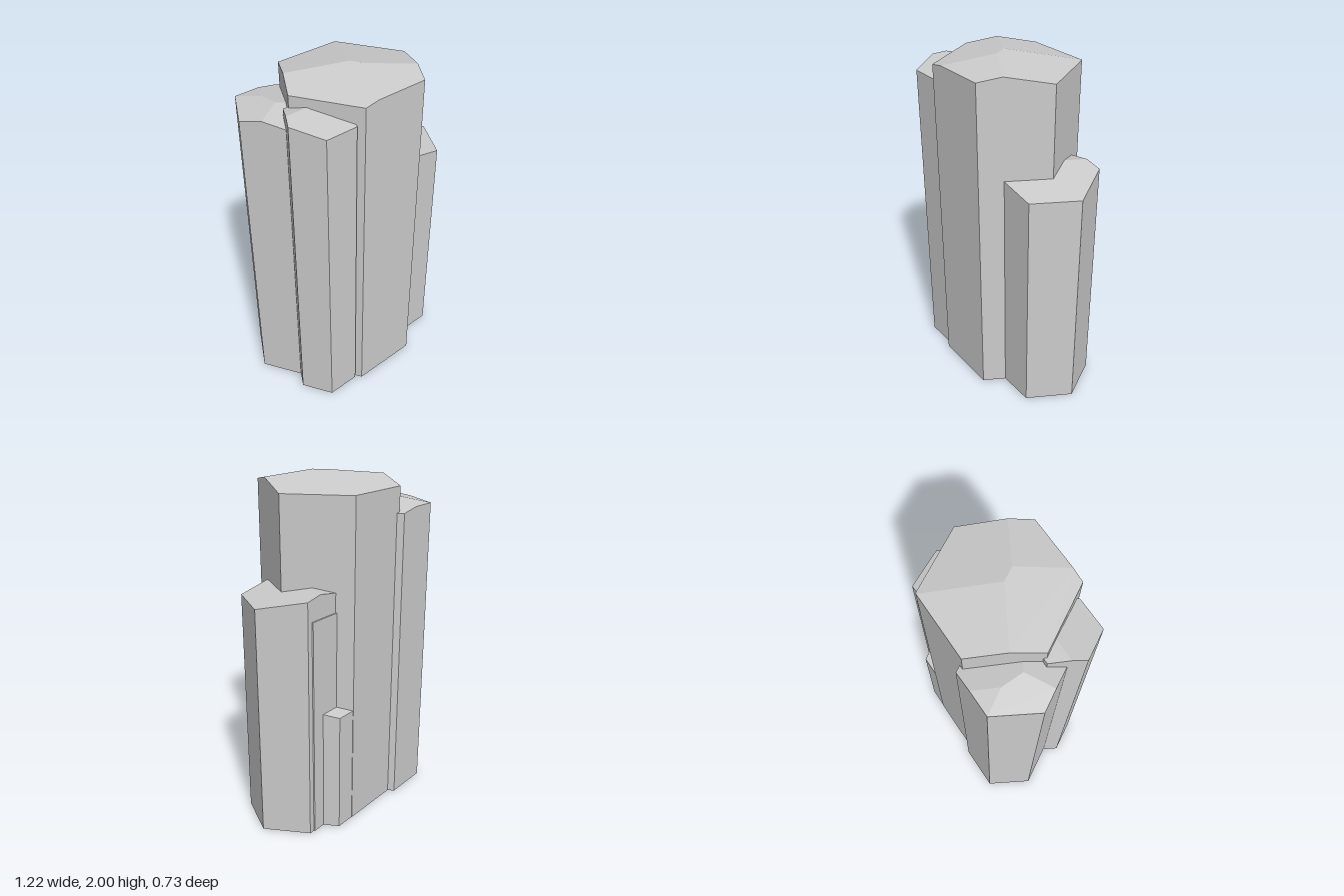
import * as THREE from 'three';

const SLOPE = 0.2126; // 12 degree chamfers on every column top

// Hexagonal column whose top is cut by planes rising inward from chosen edges.
// facets: [edge index, height at that edge]; edge 0 faces front right, then 1 front,
// 2 front left, 3 back left, 4 back, 5 back right (as seen from the front).
function columnGeometry(radius, facets) {
  const apothem = radius * Math.sqrt(3) / 2;
  const normal = k => {
    const a = (k + 0.5) * Math.PI / 3;
    return [Math.cos(a), Math.sin(a)];
  };
  const hex = [];
  for (let k = 0; k < 6; k++) {
    const a = k * Math.PI / 3;
    hex.push([radius * Math.cos(a), radius * Math.sin(a)]);
  }
  const along = (p, k) => p[0] * normal(k)[0] + p[1] * normal(k)[1];
  const height = (p, [k, h]) => h + SLOPE * (apothem - along(p, k));

  // keep the part of a polygon where the given function is not negative
  const clip = (poly, f) => {
    const out = [];
    poly.forEach((a, i) => {
      const b = poly[(i + 1) % poly.length];
      const fa = f(a), fb = f(b);
      if (fa >= -1e-9) out.push(a);
      if ((fa > 1e-9 && fb < -1e-9) || (fa < -1e-9 && fb > 1e-9)) {
        const t = fa / (fa - fb);
        out.push([a[0] + (b[0] - a[0]) * t, a[1] + (b[1] - a[1]) * t]);
      }
    });
    return out;
  };

  const pos = [];
  const tri = (...pts) => pts.forEach(p => pos.push(...p));
  for (const facet of facets) {
    // area in which this plane is the lowest
    let cell = hex;
    for (const other of facets) {
      if (other !== facet) cell = clip(cell, p => height(p, other) - height(p, facet));
    }
    const top = cell.map(p => [p[0], height(p, facet), p[1]]);
    for (let i = 1; i < top.length - 1; i++) tri(top[0], top[i + 1], top[i]);
    // walls below the outer edges
    cell.forEach((p, i) => {
      const j = (i + 1) % cell.length, q = cell[j];
      const mid = [(p[0] + q[0]) / 2, (p[1] + q[1]) / 2];
      const outer = [0, 1, 2, 3, 4, 5].some(k => along(mid, k) > apothem - 1e-6);
      if (!outer) return;
      const p0 = [p[0], 0, p[1]], q0 = [q[0], 0, q[1]];
      tri(top[i], top[j], q0);
      tri(top[i], q0, p0);
    });
  }
  // base
  const base = hex.map(p => [p[0], 0, p[1]]);
  for (let i = 1; i < 5; i++) tri(base[0], base[i], base[i + 1]);

  const geometry = new THREE.BufferGeometry();
  geometry.setAttribute('position', new THREE.Float32BufferAttribute(pos, 3));
  geometry.computeVertexNormals();
  return geometry;
}

export function createModel() {
  const group = new THREE.Group();
  group.name = 'hexagonalRockColumns';
  const material = new THREE.MeshStandardMaterial({ color: 0xcccccc, flatShading: true });

  const columns = [
    { name: 'mainColumn', x: -0.01, z: 0.015, r: 0.4, facets: [[4, 1.922], [5, 1.921], [1, 1.945], [2, 1.93]] },
    { name: 'leftColumn', x: 0.33, z: 0, r: 0.28, facets: [[0, 1.355], [3, 1.393]] },
    { name: 'frontRightColumn', x: -0.337, z: 0.167, r: 0.193, facets: [[1, 1.83], [4, 1.859]] },
    { name: 'backRightColumn', x: -0.34, z: -0.133, r: 0.27, facets: [[3, 1.797], [4, 1.797], [5, 1.775], [1, 1.793]] },
    { name: 'hiddenBackColumn', x: 0.335, z: -0.075, r: 0.2, facets: [[4, 1.29], [1, 1.29]] },
    { name: 'shortBackColumn', x: 0.21, z: -0.156, r: 0.2, facets: [[4, 0.71], [1, 0.71]] },
  ];
  for (const c of columns) {
    const mesh = new THREE.Mesh(columnGeometry(c.r, c.facets), material);
    mesh.name = c.name;
    mesh.position.set(c.x, 0, c.z);
    group.add(mesh);
  }
  return group;
}
